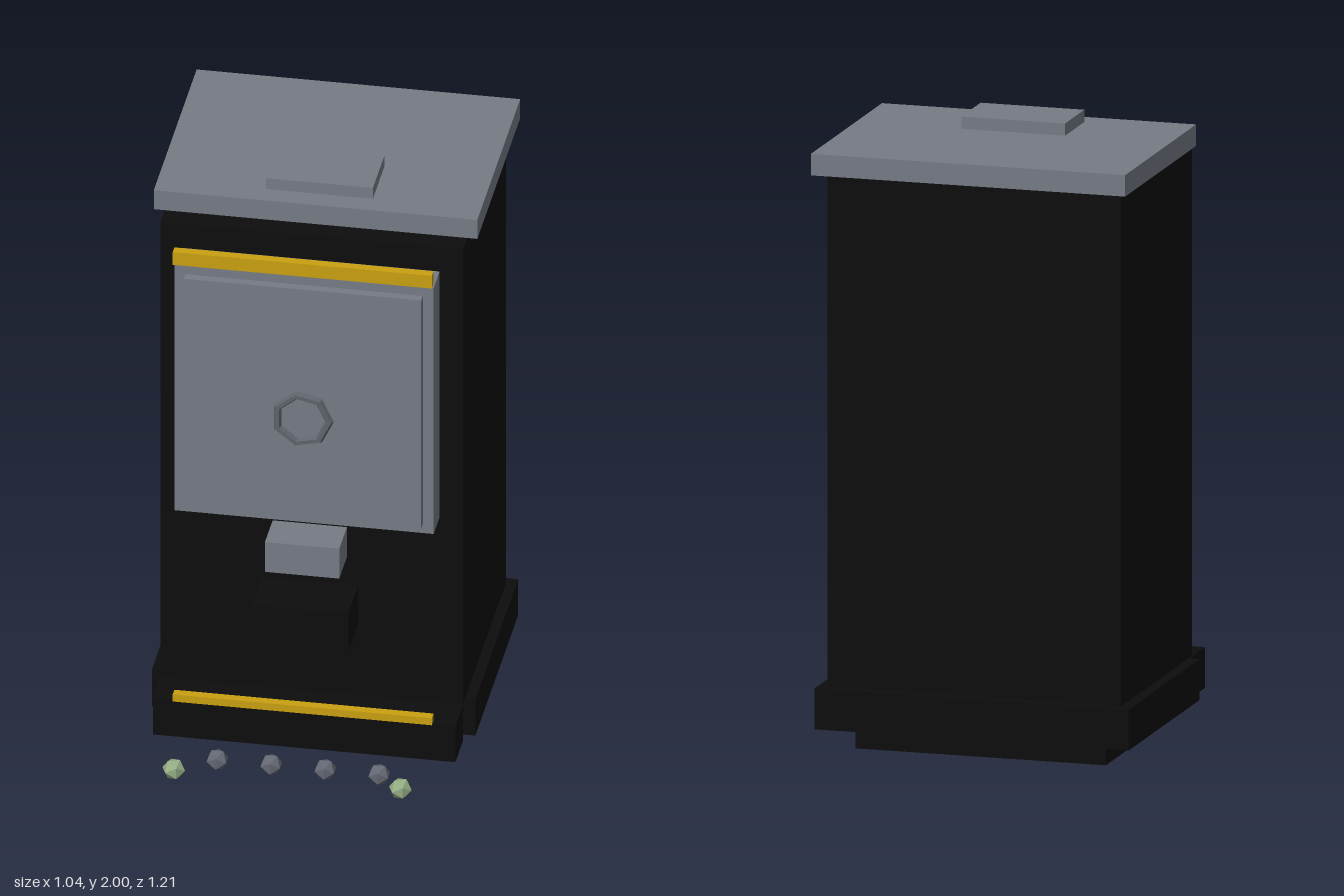
import * as THREE from 'three';

const mat = (name, color, flat = false) => {
  const m = new THREE.MeshStandardMaterial({ color, flatShading: flat });
  m.name = name;
  return m;
};

export function createModel() {
  const model = new THREE.Group();
  model.name = 'cabinet';
  const black = mat('black iron', 0x0d0d0d);
  const steel = mat('grey steel', 0x767b85);
  const gold = mat('gold trim', 0xcaa010);
  const wheelGrey = mat('dark steel', 0x5f636c, true);
  const stone = mat('grey stone', 0x646873, true);
  const moss = mat('pale green stone', 0x94ad84, true);

  const add = (name, geometry, material, parent = model) => {
    const mesh = new THREE.Mesh(geometry, material);
    mesh.name = name;
    parent.add(mesh);
    return mesh;
  };
  // Box given by its limits on each axis
  const box = (name, material, [x0, x1], [y0, y1], [z0, z1], parent) => {
    const g = new THREE.BoxGeometry(x1 - x0, y1 - y0, z1 - z0);
    g.translate((x0 + x1) / 2, (y0 + y1) / 2, (z0 + z1) / 2);
    return add(name, g, material, parent);
  };

  // Cabinet, from the foot up
  box('foot', black, [-0.418, 0.415], [0, 0.07], [-0.47, 0.16]);
  box('plinth', black, [-0.525, 0.52], [0.077, 0.21], [-0.572, 0.192]);
  box('frontStep', black, [-0.49, 0.487], [0.077, 0.21], [0.231, 0.367]);
  box('body', black, [-0.49, 0.487], [0.212, 1.888], [-0.538, 0.226]);
  box('lid', steel, [-0.525, 0.52], [1.89, 1.96], [-0.61, 0.157]);
  box('lidCap', steel, [-0.175, 0.17], [1.96, 2], [-0.122, 0.086]);

  // Door: four frame bars behind a raised panel
  const door = new THREE.Group();
  door.name = 'door';
  model.add(door);
  const depth = [0.262, 0.367];
  box('topRail', steel, [-0.42, 0.417], [1.72, 1.82], depth, door);
  box('bottomRail', steel, [-0.42, 0.417], [0.912, 1.014], depth, door);
  box('rightStile', steel, [-0.42, -0.32], [1.014, 1.72], depth, door);
  box('leftStile', steel, [0.317, 0.417], [1.014, 1.72], depth, door);
  box('doorPanel', steel, [-0.385, 0.382], [0.946, 1.787], [0.367, 0.396], door);

  // Faceted ring on the door
  const ring = add('wheelRing', new THREE.TorusGeometry(0.088, 0.014, 6, 7), wheelGrey, door);
  ring.position.set(-0.001, 1.313, 0.402);

  // Latch and drawer
  box('latch', steel, [-0.122, 0.118], [0.735, 0.845], [0.262, 0.4]);
  box('drawer', black, [-0.157, 0.154], [0.492, 0.632], [0.262, 0.436]);

  // Gold trim bars
  box('topTrim', gold, [-0.42, 0.417], [1.837, 1.884], [0.37, 0.4]);
  box('bottomTrim', gold, [-0.42, 0.417], [0.225, 0.251], [0.37, 0.4]);

  // Row of small stones before the step
  for (let i = 0; i < 4; i++) {
    const s = add('stone', new THREE.IcosahedronGeometry(0.037), stone);
    s.position.set(-0.263 + i * 0.1743, 0.068, 0.47);
  }

  // A larger green stone at each end
  [[-0.385, 0.081], [0.347, 0.086]].forEach(([x, y]) => {
    const s = add('greenStone', new THREE.IcosahedronGeometry(0.038), moss);
    s.position.set(x, y, 0.574);
    s.rotation.y = 0.4;
    s.scale.y = 0.95;
  });

  return model;
}
